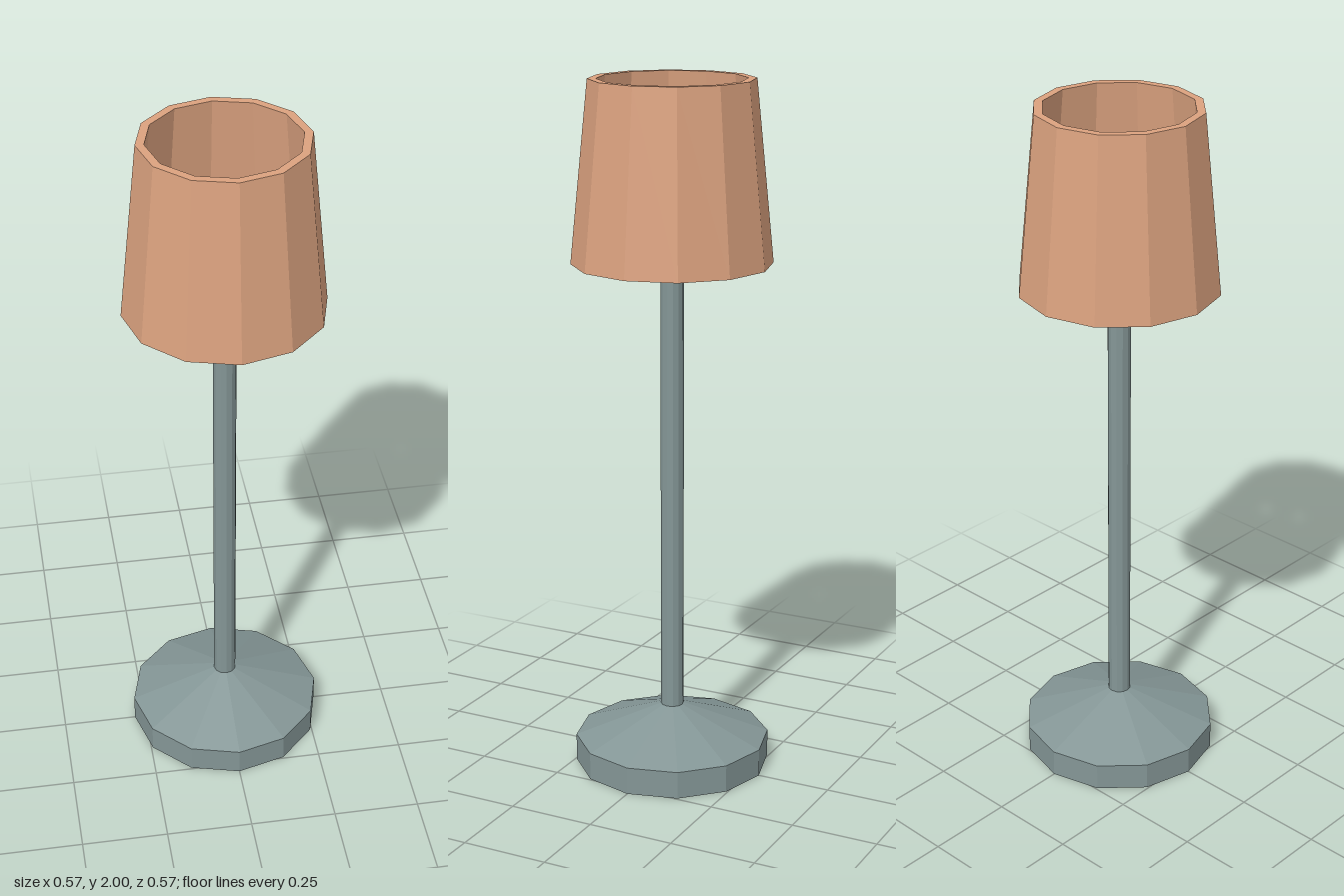
import * as THREE from 'three';

const SIDES = 12;

// Low-poly turned part; the profile runs bottom to top on the outside.
function turned(name, color, profile) {
  const points = profile.map(([r, y]) => new THREE.Vector2(r, y));
  const material = new THREE.MeshStandardMaterial({ color, flatShading: true });
  const mesh = new THREE.Mesh(new THREE.LatheGeometry(points, SIDES), material);
  mesh.name = name;
  return mesh;
}

export function createModel() {
  const metal = 0x849696, fabric = 0xdba27f, glow = 0xaba074;
  const lamp = new THREE.Group();
  lamp.name = 'floorLamp';

  lamp.add(
    // Weighted foot with a sloping top
    turned('base', metal, [[0, 0], [0.283, 0], [0.283, 0.08], [0.033, 0.175], [0, 0.175]]),
    turned('pole', metal, [[0.033, 0.17], [0.033, 1.63]]),
    // Holder under the bulb
    turned('socket', metal, [[0, 1.62], [0.05, 1.62], [0.05, 1.68], [0, 1.68]]),
    turned('bulb', glow, [[0, 1.68], [0.042, 1.68], [0.064, 1.74], [0.036, 1.8], [0, 1.8]]),
    // Tapered shade, open at both ends, with a thick wall
    turned('shade', fabric, [
      [0.259, 1.49], [0.283, 1.49], [0.232, 2], [0.208, 2], [0.259, 1.49],
    ]),
  );
  return lamp;
}
